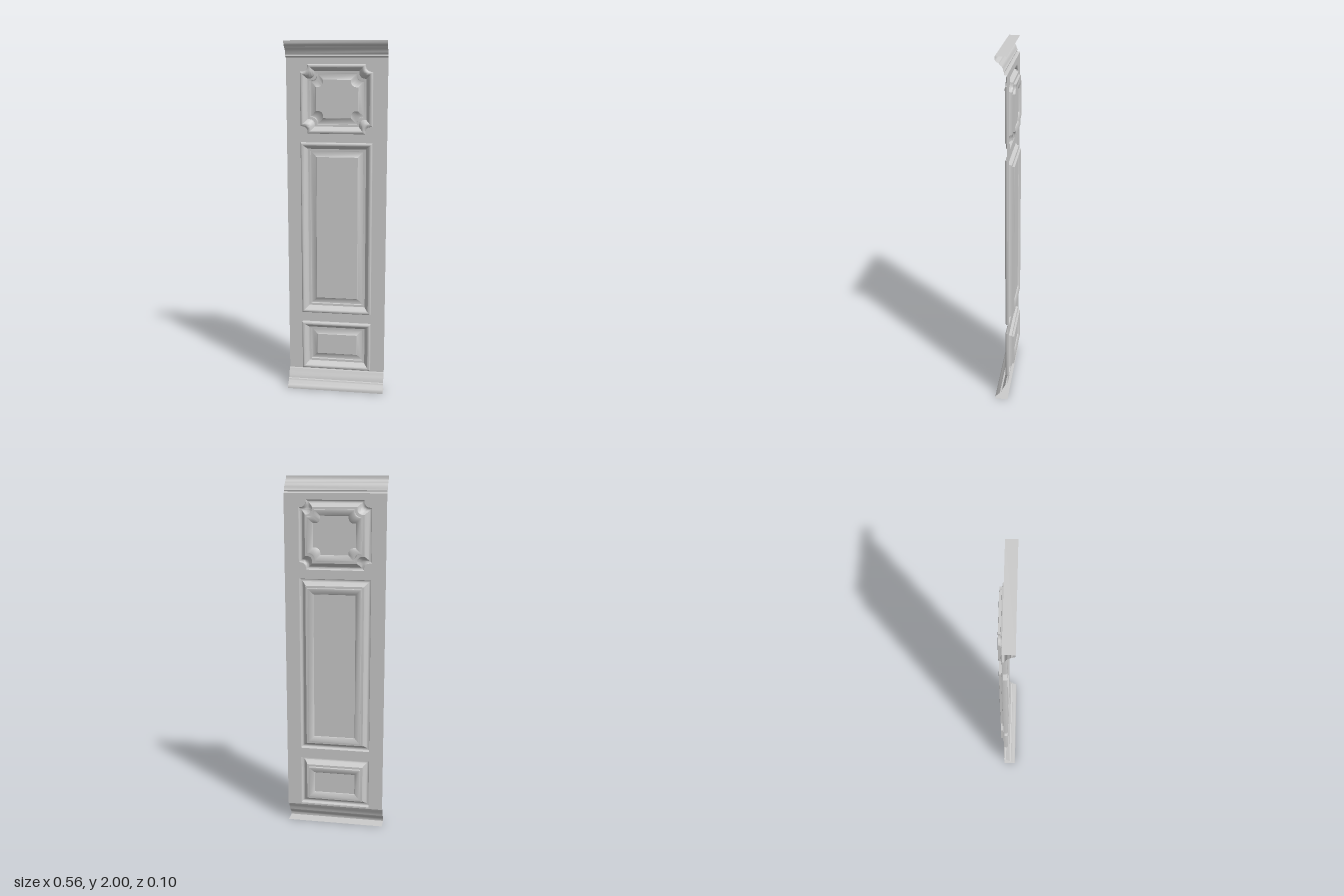
import * as THREE from 'three';
import { toCreasedNormals } from 'three/addons/utils/BufferGeometryUtils.js';

const material = new THREE.MeshStandardMaterial({ color: 0xcccccc, side: THREE.DoubleSide });
const W = 0.28;      // half width of the board
const FACE = -0.026; // z of the flat board

// Moulding section of every panel: [inset from outline, z]
const MOULDING = [
  [0, FACE], [0, -0.010], [0.004, -0.005], [0.010, -0.003], [0.016, -0.005],
  [0.022, -0.011], [0.028, -0.019], [0.035, -0.026], [0.037, -0.036],
  [0.049, -0.037], [0.050, -0.049], [0.054, -0.050], [0.081, -0.041], [0.083, -0.038],
];

// Panels: centre height, half width, half height, corner notch radius
const PANELS = [
  { name: 'upperPanel', y: 1.6875, hw: 0.2, hh: 0.1875, notch: 0.03 },
  { name: 'middlePanel', y: 0.955, hw: 0.2, hh: 0.495, notch: 0 },
  { name: 'lowerPanel', y: 0.258, hw: 0.2, hh: 0.143, notch: 0 },
];

// Counter-clockwise outline; notched corners are scooped with a small step either side
function outline({ y, hw, hh, notch }, inset) {
  const w = hw - inset, h = hh - inset, points = [];
  const corners = [[1, -1], [1, 1], [-1, 1], [-1, -1]];
  corners.forEach(([sx, sy], k) => {
    const cx = sx * w, cy = y + sy * h;
    if (!notch) return points.push(new THREE.Vector2(cx, cy));
    const step = 0.01, r = notch, local = [[r + step, 0]];
    for (let i = 0; i <= 6; i++) {
      const a = (i / 6) * Math.PI / 2;
      local.push([step + r * Math.cos(a), step + r * Math.sin(a)]);
    }
    local.push([0, r + step]);
    if (k % 2 === 0) local.reverse();
    // walk the scoop in the same turning direction at each corner
    const pts = local.map(([u, v]) => new THREE.Vector2(cx - sx * u, cy - sy * v));
    const start = k % 2 === 0 ? pts.slice().reverse() : pts.slice().reverse();
    points.push(...start);
  });
  return points;
}

function addMesh(group, name, geometry) {
  const mesh = new THREE.Mesh(geometry, material);
  mesh.name = name;
  group.add(mesh);
}

// Joins rows of equal point count into a surface
function loft(rows, closed) {
  const n = rows[0].length, index = [];
  for (let r = 0; r < rows.length - 1; r++) {
    for (let i = 0; i < (closed ? n : n - 1); i++) {
      const j = (i + 1) % n, a = r * n + i, b = r * n + j;
      index.push(a, b, b + n, a, b + n, a + n);
    }
  }
  const geometry = new THREE.BufferGeometry();
  geometry.setAttribute('position', new THREE.Float32BufferAttribute(rows.flat(2), 3));
  geometry.setIndex(index);
  return toCreasedNormals(geometry, 0.7);
}

// Section [z, y], listed bottom to top, drawn across the full width
function strip(section) {
  return loft(section.map(([z, y]) => [[-W, y, z], [W, y, z]]), false);
}

export function createModel() {
  const model = new THREE.Group();
  model.name = 'panelledPilaster';

  // Flat board with an opening for each panel
  const board = new THREE.Shape([
    new THREE.Vector2(-W, 0.105), new THREE.Vector2(W, 0.105),
    new THREE.Vector2(W, 1.91), new THREE.Vector2(-W, 1.91),
  ]);
  PANELS.forEach((p) => board.holes.push(new THREE.Path(outline(p, 0))));
  addMesh(model, 'board', new THREE.ShapeGeometry(board).translate(0, 0, FACE));

  // Raised mouldings stepping down to the fielded panels
  for (const p of PANELS) {
    const panel = new THREE.Group();
    panel.name = p.name;
    const rows = MOULDING.map(([d, z]) => outline(p, d).map((v) => [v.x, v.y, z]));
    addMesh(panel, 'moulding', loft(rows, true));
    const [inset, z] = MOULDING[MOULDING.length - 1];
    const field = new THREE.Shape(outline(p, inset));
    addMesh(panel, 'field', new THREE.ShapeGeometry(field).translate(0, 0, z));
    model.add(panel);
  }

  // Cornice, hollow at the back and ends
  addMesh(model, 'cornice', strip([
    [FACE, 1.91], [-0.014, 1.912], [-0.010, 1.918], [-0.012, 1.925], [-0.008, 1.93],
    [-0.006, 1.942], [0.001, 1.954], [0.012, 1.962], [0.014, 1.969], [0.022, 1.971],
    [0.030, 1.977], [0.034, 1.986], [0.034, 2], [FACE, 2],
  ]));

  // Base moulding, hollow at the back and ends
  addMesh(model, 'base', strip([
    [FACE, 0], [0.046, 0], [0.046, 0.012], [0.040, 0.022], [0.029, 0.031],
    [0.021, 0.040], [0.018, 0.050], [0.008, 0.052], [0.004, 0.068],
    [-0.004, 0.082], [-0.010, 0.095], [-0.014, 0.104], [FACE, 0.105],
  ]));
  return model;
}
